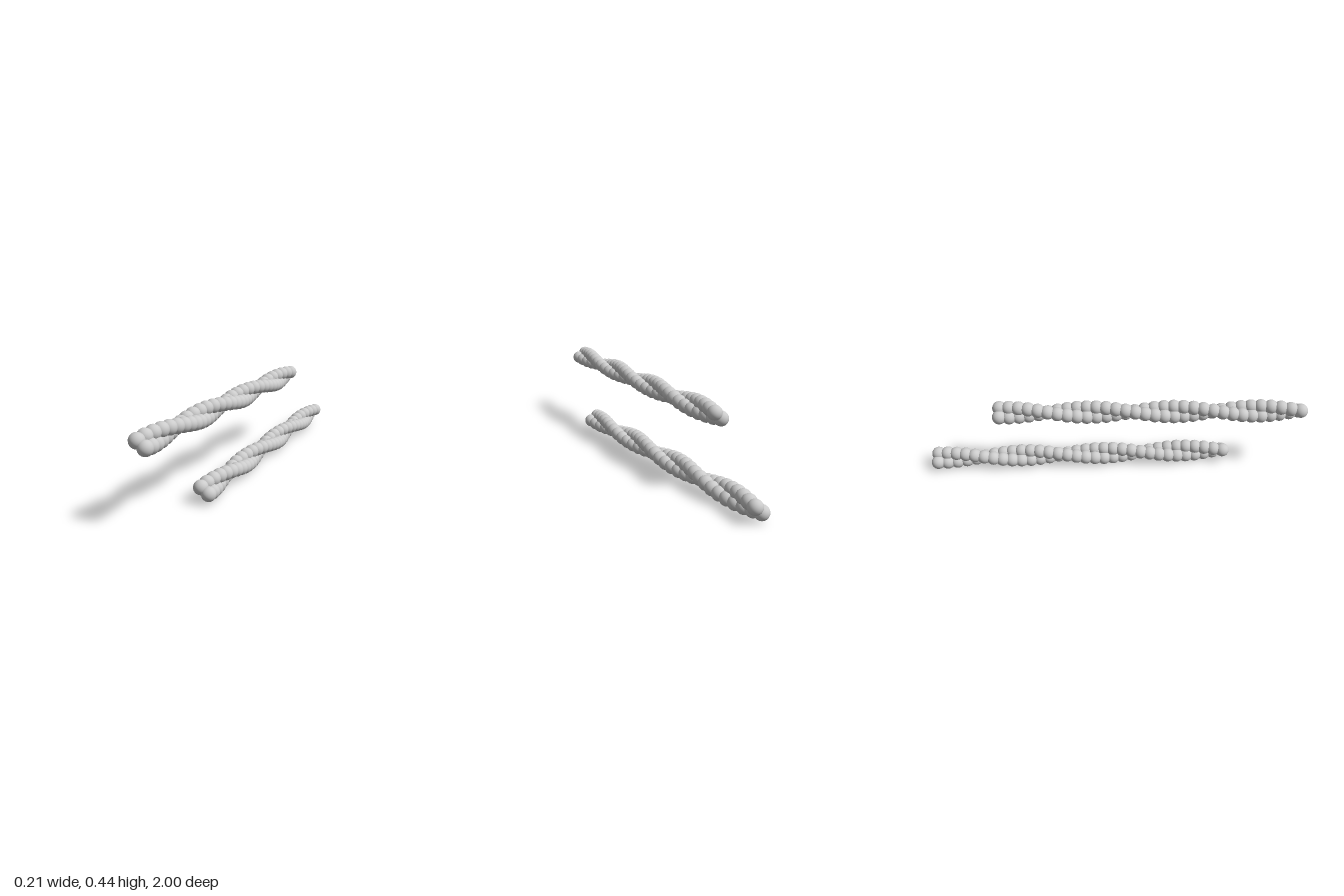
import * as THREE from 'three';

const BEADS = 32;            // beads along each strand
const BEAD_RADIUS = 0.037;
const HELIX_RADIUS = 0.0245; // bead centre to filament axis
const START_ANGLE = THREE.MathUtils.degToRad(-33);
const TWIST = THREE.MathUtils.degToRad(-20.8); // per bead, front to back

const material = new THREE.MeshStandardMaterial({ color: 0xcccccc });
const beadGeometry = new THREE.SphereGeometry(BEAD_RADIUS, 24, 16);

// One strand of beads winding around the axis from front to back
function makeStrand(name, front, back, phase) {
  const strand = new THREE.Group();
  strand.name = name;
  for (let i = 0; i < BEADS; i++) {
    const angle = START_ANGLE + phase + TWIST * i;
    const bead = new THREE.Mesh(beadGeometry, material);
    bead.name = 'bead';
    bead.position.lerpVectors(front, back, i / (BEADS - 1));
    bead.position.x += HELIX_RADIUS * Math.cos(angle);
    bead.position.y += HELIX_RADIUS * Math.sin(angle);
    strand.add(bead);
  }
  return strand;
}

// Two intertwined strands half a turn apart
function makeFilament(name, front, back) {
  const filament = new THREE.Group();
  filament.name = name;
  filament.add(
    makeStrand('firstStrand', front, back, 0),
    makeStrand('secondStrand', front, back, Math.PI)
  );
  return filament;
}

export function createModel() {
  const model = new THREE.Group();
  model.name = 'twistedFilaments';
  model.add(
    makeFilament('upperFilament', new THREE.Vector3(-0.042, 0.381, 0.963), new THREE.Vector3(-0.044, 0.381, -0.597)),
    // The lower filament is set back and slants slightly sideways
    makeFilament('lowerFilament', new THREE.Vector3(0.045, 0.062, 0.597), new THREE.Vector3(-0.014, 0.062, -0.963))
  );
  return model;
}
